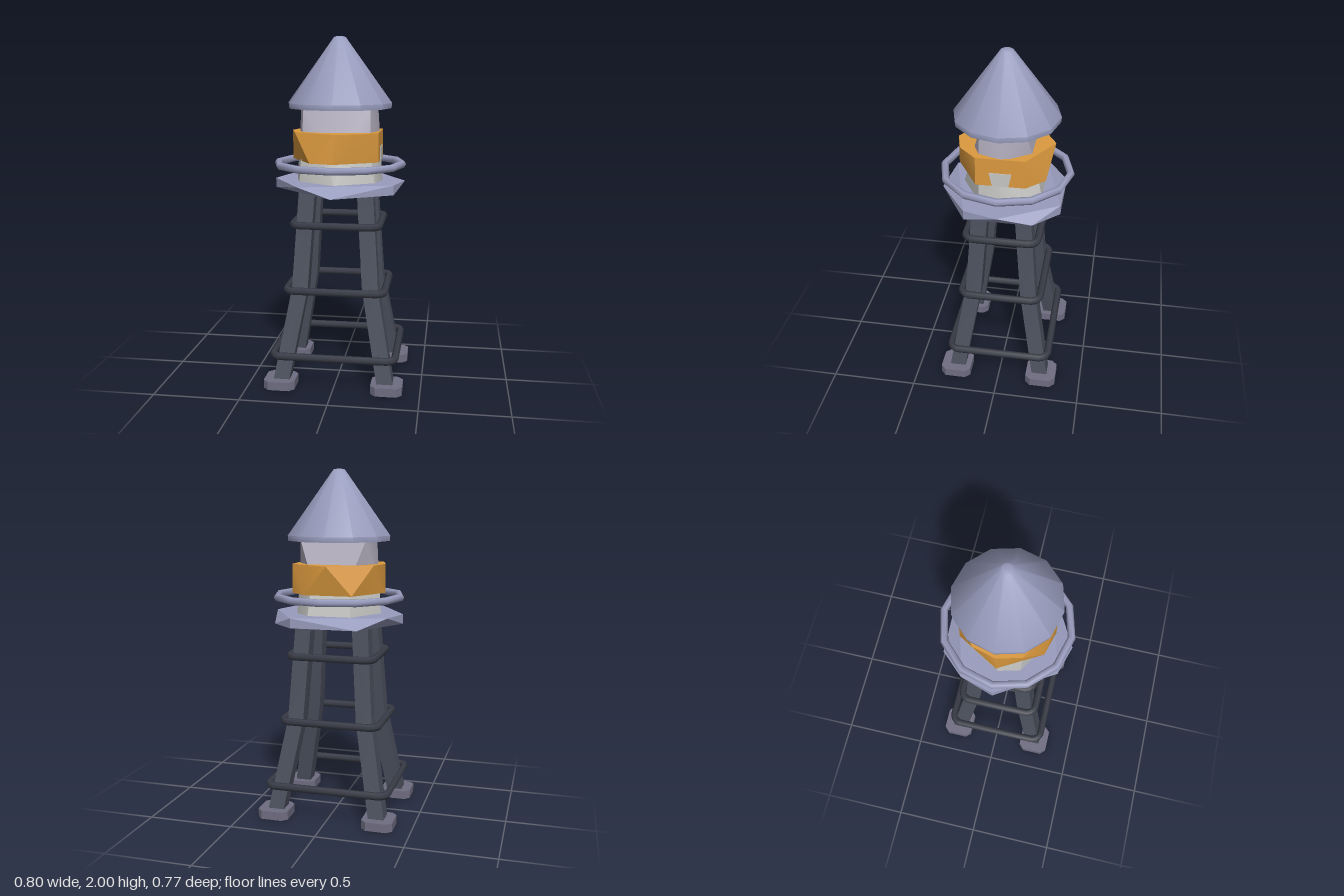
import * as THREE from 'three';
import { ConvexGeometry } from 'three/addons/geometries/ConvexGeometry.js';
import { toCreasedNormals } from 'three/addons/utils/BufferGeometryUtils.js';

const material = (name, color) => {
  const m = new THREE.MeshStandardMaterial({ color });
  m.name = name;
  return m;
};

// Hull between a lower and an upper outline, each a list of [x, z]
function hull(lower, y0, upper, y1) {
  const pts = [
    ...lower.map(([x, z]) => new THREE.Vector3(x, y0, z)),
    ...upper.map(([x, z]) => new THREE.Vector3(x, y1, z)),
  ];
  return new ConvexGeometry(pts);
}

// Chosen corners of a twelve-sided ring, numbered from +x towards +z
const corners = (r, ...ids) =>
  ids.map((i) => [r * Math.cos((i * Math.PI) / 6), r * Math.sin((i * Math.PI) / 6)]);

// Square post following centre points [x, y, z]
function post(path, half) {
  const g = new THREE.BoxGeometry(2 * half, 2, 2 * half, 1, path.length - 1, 1);
  const p = g.attributes.position;
  for (let i = 0; i < p.count; i++) {
    const k = Math.round(((p.getY(i) + 1) / 2) * (path.length - 1));
    const [x, y, z] = path[k];
    p.setXYZ(i, p.getX(i) + x, y, p.getZ(i) + z);
  }
  g.computeVertexNormals();
  return g;
}

// Rounded rectangular hoop: a torus pulled apart into four corners
function hoop(halfX, halfZ) {
  const r = 0.022, bend = 0.06;
  const g = new THREE.TorusGeometry(bend, r, 6, 16);
  g.rotateX(Math.PI / 2).rotateY(Math.PI / 16);
  const p = g.attributes.position;
  const dx = halfX - bend - r, dz = halfZ - bend - r;
  for (let i = 0; i < p.count; i++) {
    p.setX(i, p.getX(i) + Math.sign(p.getX(i)) * dx);
    p.setZ(i, p.getZ(i) + Math.sign(p.getZ(i)) * dz);
  }
  return g;
}

export function createModel() {
  const model = new THREE.Group();
  model.name = 'waterTower';
  const slate = material('slate roof', 0x999dbe);
  const iron = material('iron legs', 0x4c515e);
  const darkIron = material('dark iron braces', 0x393c47);
  const stone = material('stone feet', 0x6f6d81);
  const pale = material('pale wall', 0xc8c8c6);
  const lilac = material('lilac wall', 0xb7b2c2);
  const amber = material('amber band', 0xdc9a3f);

  const add = (name, geometry, mat, y = 0) => {
    const mesh = new THREE.Mesh(geometry, mat);
    mesh.name = name;
    mesh.position.y = y;
    model.add(mesh);
    return mesh;
  };

  // Four splayed legs on chamfered feet
  for (const sx of [-1, 1]) {
    for (const sz of [-1, 1]) {
      const side = (sz > 0 ? 'front' : 'back') + (sx > 0 ? 'Left' : 'Right');
      const path = [[0.3, 0, 0.255], [0.297, 0.06, 0.252], [0.203, 0.58, 0.163], [0.166, 1.14, 0.12]];
      add(side + 'Leg', post(path.map(([x, y, z]) => [sx * x, y, sz * z]), 0.046), iron);

      const outline = [];
      for (const a of [-1, 1]) {
        for (const b of [-1, 1]) {
          outline.push([sx * 0.309 + a * 0.09, sz * 0.262 + b * 0.06]);
          outline.push([sx * 0.309 + a * 0.06, sz * 0.262 + b * 0.09]);
        }
      }
      add(side + 'Foot', hull(outline, 0.002, outline, 0.052), stone);
    }
  }

  // Brace hoops around the legs
  for (const [y, x, z] of [[0.19, 0.376, 0.32], [0.565, 0.306, 0.257], [0.945, 0.27, 0.232]]) {
    add('braceHoop', hoop(x, z), darkIron, y);
  }

  // Faceted platform and its railing
  add('platform', hull(corners(0.38, 1, 3, 6, 8, 10, 11), 1.13, corners(0.38, 0, 1, 4, 6, 7, 10), 1.185), slate);
  const rail = new THREE.TorusGeometry(0.363, 0.022, 6, 12).rotateX(Math.PI / 2);
  add('railing', rail, slate, 1.28);

  // Tank wall, narrowing towards the roof
  const base = corners(0.25, 0, 1, 3, 5, 6, 8, 10, 11);
  const middle = [[0.237, 0], [-0.237, 0], [0.19, 0.13], [-0.2, 0.13], [0.06, 0.19], [-0.06, 0.19], [0.11, -0.18], [-0.11, -0.18]];
  const top = [[0.222, 0], [-0.225, 0], [0.19, 0.12], [-0.19, 0.12], [0.19, -0.13], [-0.19, -0.13]];
  add('lowerWall', toCreasedNormals(hull(base, 1.18, middle, 1.385), 0.6), pale);
  add('upperWall', toCreasedNormals(hull(middle, 1.385, top, 1.605), 0.6), lilac);

  // Amber band with a small hatch on its left side
  const bandLow = corners(0.275, 1, 3, 4, 6, 8, 10, 11);
  const bandHigh = corners(0.275, 1, 2, 3, 5, 6, 7, 9, 11);
  add('band', toCreasedNormals(hull(bandLow, 1.305, bandHigh, 1.47), 0.6), amber);
  const hatch = new THREE.Shape([[-0.045, 1.305], [0.045, 1.305], [0.062, 1.385], [-0.062, 1.385]]
    .map(([x, y]) => new THREE.Vector2(x, y)));
  const hatchPlate = new THREE.ExtrudeGeometry(hatch, { depth: 0.008, bevelEnabled: false });
  add('hatch', hatchPlate.rotateY(Math.PI / 2).translate(0.235, 0, 0), pale);

  // Conical roof with a short lip, blunt tip and flat underside
  const profile = [[0, 1.6], [0.297, 1.6], [0.3, 1.63], [0.035, 1.995], [0.025, 2], [0, 2]]
    .map(([r, y]) => new THREE.Vector2(r, y));
  add('roof', toCreasedNormals(new THREE.LatheGeometry(profile, 12), 0.75), slate);

  return model;
}
